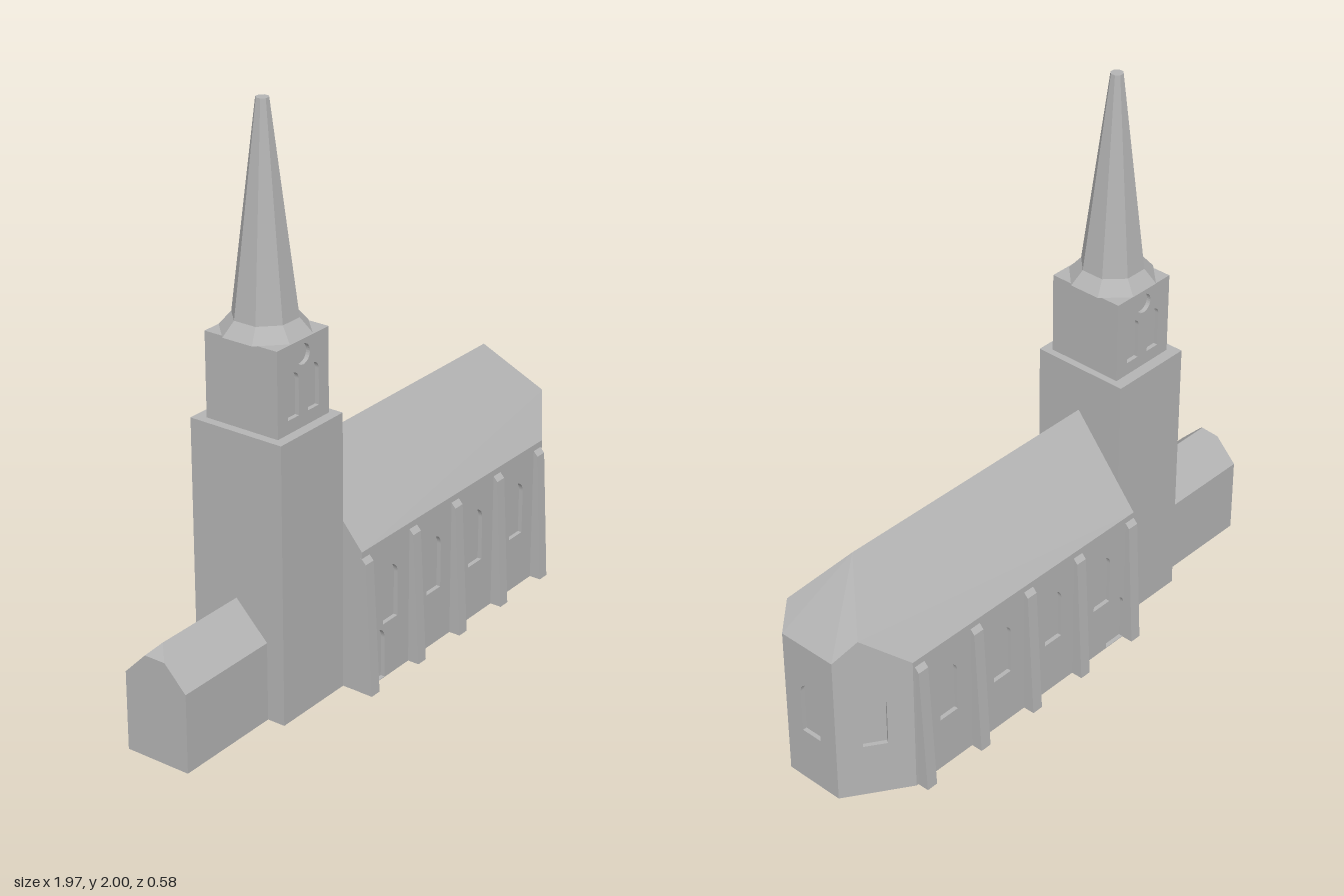
import * as THREE from 'three';
import { ConvexGeometry } from 'three/addons/geometries/ConvexGeometry.js';

const RECESS = 0.015; // depth of windows and doors

export function createModel() {
  const church = new THREE.Group();
  church.name = 'church';
  const stone = new THREE.MeshStandardMaterial({ color: 0xb4b4b4 });
  stone.name = 'stone grey';

  const add = (name, geometry, x = 0, y = 0, z = 0) => {
    const mesh = new THREE.Mesh(geometry, stone);
    mesh.name = name;
    mesh.position.set(x, y, z);
    church.add(mesh);
    return mesh;
  };
  const block = (name, x0, x1, y0, y1, z0, z1) => add(name,
    new THREE.BoxGeometry(x1 - x0, y1 - y0, z1 - z0), (x0 + x1) / 2, (y0 + y1) / 2, (z0 + z1) / 2);
  const hull = (name, points) =>
    add(name, new ConvexGeometry(points.map((p) => new THREE.Vector3(...p))));

  // Openings are given in wall coordinates: u along the wall, y up
  const arch = (u, y0, y1, width) => {
    const r = width / 2, path = new THREE.Path();
    path.moveTo(u - r, y0).lineTo(u + r, y0).lineTo(u + r, y1 - r);
    path.absarc(u, y1 - r, r, 0, Math.PI, false);
    path.closePath();
    return path;
  };
  const round = (u, y, r) => new THREE.Path().absarc(u, y, r, 0, Math.PI * 2, false);

  // Thin wall skin with openings; a to b runs left to right seen from outside
  const wall = (name, a, b, y0, y1, holes) => {
    const dx = b[0] - a[0], dz = b[1] - a[1], length = Math.hypot(dx, dz);
    const shape = new THREE.Shape();
    shape.moveTo(0, y0).lineTo(length, y0).lineTo(length, y1).lineTo(0, y1).closePath();
    shape.holes.push(...holes);
    const g = new THREE.ExtrudeGeometry(shape, { depth: RECESS, bevelEnabled: false, curveSegments: 14 });
    g.translate(0, 0, -RECESS);
    add(name, g, a[0], 0, a[1]).rotation.y = Math.atan2(-dz, dx);
  };

  // Nave and apse: main dimensions
  const west = -0.28, bend = 0.77, east = 0.98, half = 0.25, apse = 0.11;
  const wallTop = 0.45, eave = 0.51, ridge = 0.81;

  // Recessed inner body behind the wall skins
  const core = [];
  for (const y of [0, wallTop]) {
    for (const s of [-1, 1]) {
      core.push([west, y, s * (half - RECESS)], [bend - 0.005, y, s * (half - RECESS)],
        [east - RECESS, y, s * (apse - 0.008)]);
    }
  }
  hull('naveCore', core);

  // Roof with upper wall strip, clipped by the slanted apse walls
  const roof = [[west, ridge, 0], [bend, ridge, 0]];
  for (const s of [-1, 1]) {
    roof.push([west, wallTop, s * half], [bend, wallTop, s * half], [east, wallTop, s * apse],
      [west, eave, s * half], [bend, eave, s * half], [0.91, 0.627, s * 0.157], [east, 0.555, s * apse]);
  }
  hull('naveRoof', roof);

  // Long walls with four windows and a small door each
  const windows = [-0.125, 0.12, 0.365, 0.615];
  const longHoles = (toU) => [
    ...windows.map((x) => arch(toU(x), 0.2, 0.4, 0.08)),
    arch(toU(-0.197), 0.002, 0.19, 0.085),
  ];
  wall('frontNaveWall', [west, half], [bend, half], 0, wallTop, longHoles((x) => x - west));
  wall('backNaveWall', [bend, -half], [west, -half], 0, wallTop, longHoles((x) => bend - x));

  // Apse walls with one window each
  const slant = Math.hypot(east - bend, half - apse);
  wall('frontApseWall', [bend, half], [east, apse], 0, wallTop, [arch(slant / 2, 0.2, 0.4, 0.08)]);
  wall('endApseWall', [east, apse], [east, -apse], 0, wallTop, [arch(apse, 0.2, 0.4, 0.08)]);
  wall('backApseWall', [east, -apse], [bend, -half], 0, wallTop, [arch(slant / 2, 0.2, 0.4, 0.08)]);

  // Tapered buttresses with sloped caps
  for (const x of [-0.26, 0, 0.24, 0.49, 0.74]) {
    for (const s of [-1, 1]) {
      const points = [];
      for (const px of [x - 0.021, x + 0.021]) {
        points.push([px, 0, s * 0.24], [px, 0, s * 0.292], [px, 0.47, s * 0.266],
          [px, 0.487, s * 0.25], [px, 0.487, s * 0.24]);
      }
      hull('buttress', points);
    }
  }

  // Tower and belfry
  block('tower', -0.59, west, 0, 0.975, -0.18, 0.175);
  const bx0 = -0.56, bx1 = -0.305, bz = 0.14, b0 = 0.975, b1 = 1.265;
  block('belfryCore', bx0, bx1, b0, b1, -bz + RECESS, bz - RECESS);
  const mid = (bx1 - bx0) / 2;
  const belfryHoles = () => [
    arch(mid - 0.05, 1.02, 1.17, 0.054), arch(mid + 0.05, 1.02, 1.17, 0.054), round(mid, 1.215, 0.034),
  ];
  wall('frontBelfryWall', [bx0, bz], [bx1, bz], b0, b1, belfryHoles());
  wall('backBelfryWall', [bx1, -bz], [bx0, -bz], b0, b1, belfryHoles());

  // Eight-sided spire with a flared skirt; sizes are across the flats
  const octagon = (name, top, bottom, y0, y1) => {
    const k = 1 / Math.cos(Math.PI / 8);
    let g = new THREE.CylinderGeometry(top * k, bottom * k, y1 - y0, 8);
    g.rotateY(Math.PI / 8);
    g = g.toNonIndexed();
    g.computeVertexNormals();
    add(name, g, -0.434, (y0 + y1) / 2, -0.003);
  };
  octagon('spireSkirt', 0.1, 0.138, 1.265, 1.312);
  octagon('spire', 0.02, 0.1, 1.312, 2);

  // Low annex with a clipped gable
  const annex = [[-0.58, 0.4, -0.01], [-0.945, 0.4, -0.01]];
  for (const s of [-1, 1]) {
    for (const x of [-0.985, -0.58]) {
      annex.push([x, 0, -0.01 + s * 0.12], [x, 0.277, -0.01 + s * 0.12]);
    }
    annex.push([-0.985, 0.36, -0.01 + s * 0.039]);
  }
  hull('annex', annex);

  return church;
}
